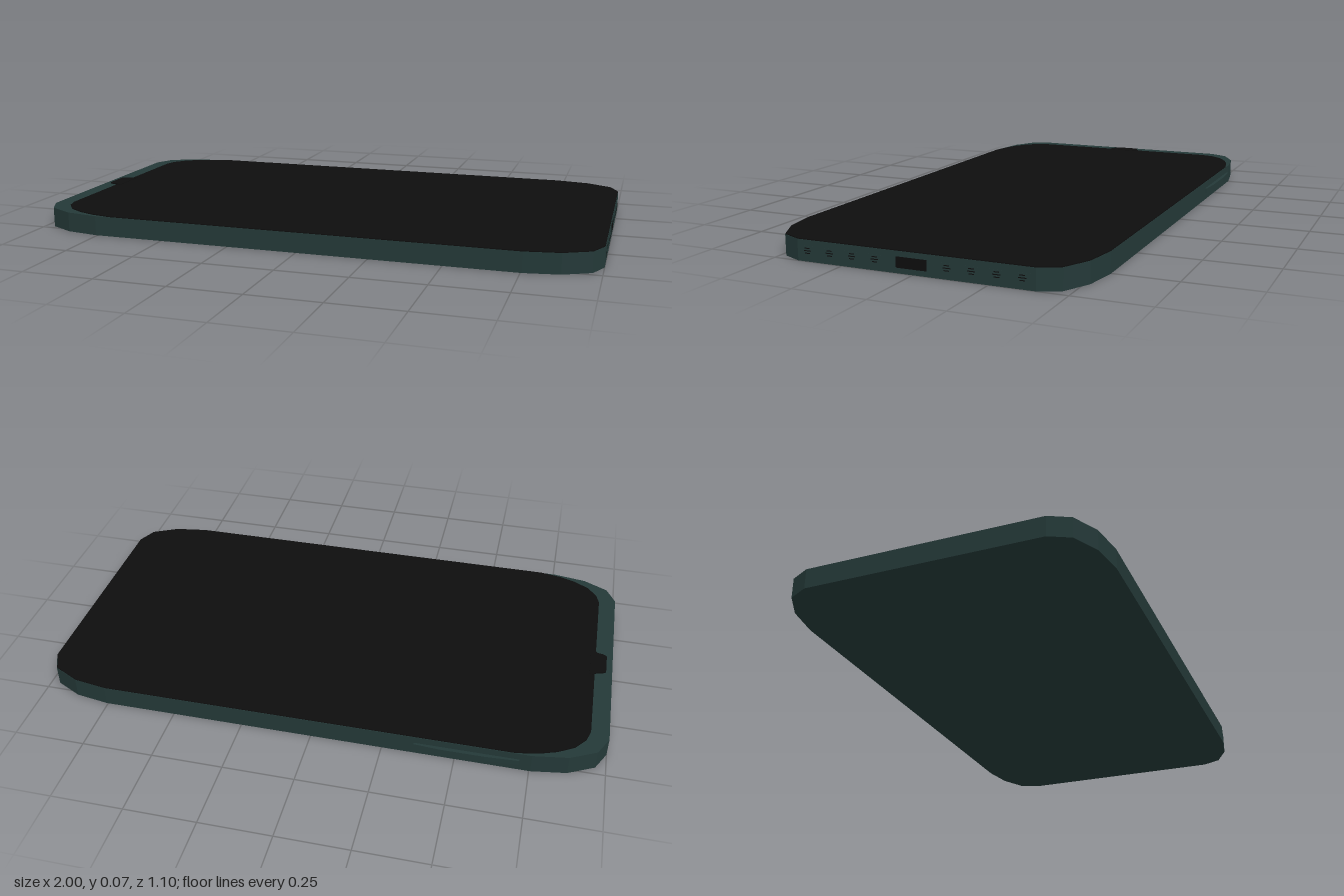
import * as THREE from 'three';

const shell = new THREE.MeshStandardMaterial({ color: 0x243938 });
shell.name = 'dark green shell';
const black = new THREE.MeshStandardMaterial({ color: 0x0d0d0d });
black.name = 'black glass';

// Flat slab from an outline of [x, z] points, between two heights
function slab(name, points, y0, y1, material) {
  const shape = new THREE.Shape(points.map(([x, z]) => new THREE.Vector2(x, -z)));
  const geometry = new THREE.ExtrudeGeometry(shape, { depth: y1 - y0, bevelEnabled: false });
  geometry.rotateX(-Math.PI / 2).translate(0, y0, 0);
  const mesh = new THREE.Mesh(geometry, material);
  mesh.name = name;
  return mesh;
}

function box(name, size, position, material) {
  const mesh = new THREE.Mesh(new THREE.BoxGeometry(...size), material);
  mesh.name = name;
  mesh.position.set(...position);
  return mesh;
}

// Mirror one half of an outline (front side, z > 0) to the back
const mirror = (half, zc) => [
  ...half.map(([x, z]) => [x, zc + z]),
  ...half.slice().reverse().map(([x, z]) => [x, zc - z]),
];

export function createModel() {
  const phone = new THREE.Group();
  phone.name = 'phone';
  const zc = 0.005;

  // Shell with chunky faceted corners
  const right = [[0.755, 0.541], [0.875, 0.522], [0.968, 0.475], [1, 0.405]];
  const left = [[-1, 0.405], [-0.965, 0.475], [-0.875, 0.522], [-0.755, 0.541]];
  phone.add(slab('shell', mirror([...left, ...right], zc), 0, 0.07, shell));

  // Screen reaching the edges except at the top end, where a rim is left
  const screenLeft = [[-0.938, 0.38], [-0.925, 0.425], [-0.89, 0.47], [-0.835, 0.503], [-0.775, 0.525], [-0.7, 0.539]];
  const screenRight = right.map(([x, z]) => [x - 0.001, z - 0.001]);
  phone.add(slab('screen', mirror([...screenLeft, ...screenRight], zc), 0.066, 0.073, black));

  // Earpiece tongue
  const tongue = [[-0.978, 0.045], [-0.965, 0.054], [-0.945, 0.058], [-0.932, 0.07], [-0.92, 0.07]];
  phone.add(slab('earpiece', mirror(tongue, 0), 0.066, 0.0745, black));

  // Charging port with its pointed surround
  const surround = new THREE.Mesh(new THREE.CylinderGeometry(1, 1, 0.002, 6), shell);
  surround.name = 'portSurround';
  surround.rotation.z = -Math.PI / 2;
  surround.scale.set(0.022, 1, 0.085);
  surround.position.set(0.9995, 0.035, 0.004);
  phone.add(surround);
  phone.add(box('chargingPort', [0.004, 0.035, 0.105], [0.999, 0.035, 0.004], black));

  // Speaker grilles, four on each side of the port
  for (const start of [0.131, -0.115]) {
    for (let i = 0; i < 4; i++) {
      const z = start + Math.sign(start) * i * 0.081;
      const grille = new THREE.Group();
      grille.name = 'speakerGrille';
      grille.add(box('grillePlate', [0.002, 0.03, 0.05], [0.9995, 0.035, z], shell));
      for (const [dy, length] of [[-0.008, 0.018], [0, 0.026], [0.008, 0.018]]) {
        grille.add(box('grilleSlot', [0.002, 0.003, length], [1, 0.035 + dy, z], black));
      }
      phone.add(grille);
    }
  }

  // Side button with tapered ends
  const button = [[-0.715, -0.52], [-0.36, -0.52], [-0.36, -0.543], [-0.45, -0.549], [-0.6, -0.549], [-0.715, -0.543]];
  phone.add(slab('sideButton', button, 0.027, 0.045, shell));

  return phone;
}
